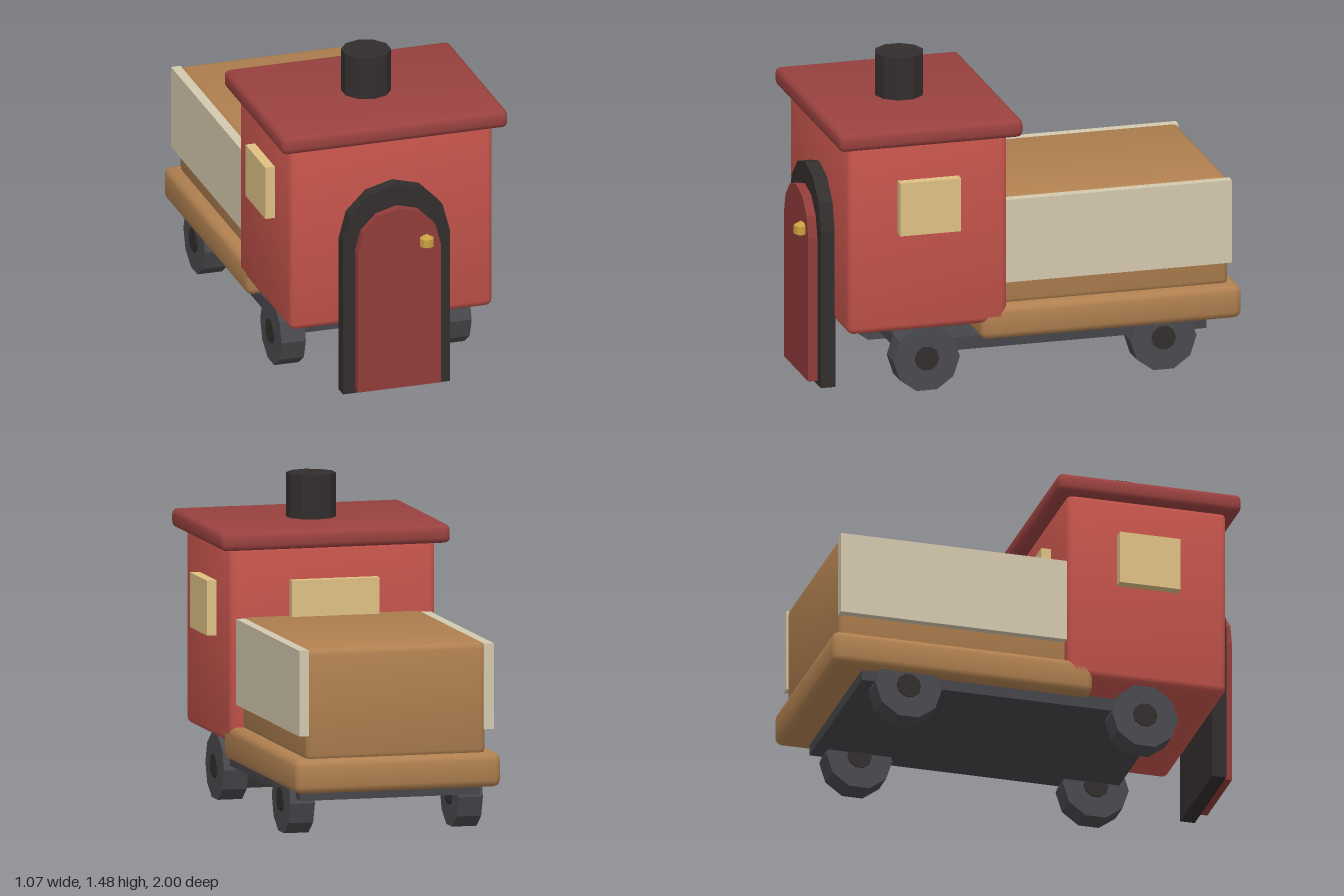
import * as THREE from 'three';
import { RoundedBoxGeometry } from 'three/addons/geometries/RoundedBoxGeometry.js';

const mat = (color, flatShading = false) => new THREE.MeshStandardMaterial({ color, flatShading });
const RED = mat(0xc4544b), ROOF = mat(0x9a4240), DOOR = mat(0x903c3a, true), WOOD = mat(0xb08050);
const CREAM = mat(0xd4c8ae), GLASS = mat(0xdec083), BLACK = mat(0x322e2d, true);
const TYRE = mat(0x4a494e, true), CHASSIS = mat(0x46454a), BRASS = mat(0xc8a040, true);

export function createModel() {
  const model = new THREE.Group();
  model.name = 'toyTruck';

  const add = (name, geometry, material, x = 0, y = 0, z = 0) => {
    const mesh = new THREE.Mesh(geometry, material);
    mesh.name = name;
    mesh.position.set(x, y, z);
    model.add(mesh);
    return mesh;
  };

  // Box given by its extents on each axis; bevel > 0 gives soft, pillowy edges
  const box = (name, material, [x0, x1], [y0, y1], [z0, z1], bevel = 0) => {
    const size = [x1 - x0, y1 - y0, z1 - z0];
    let g;
    if (bevel) {
      g = new RoundedBoxGeometry(...size, 2, bevel);
      const p = g.attributes.position, n = g.attributes.normal;
      const v = new THREE.Vector3();
      for (let i = 0; i < p.count; i++) {
        v.fromBufferAttribute(n, i);
        v.x += 0.2 * Math.sign(p.getX(i));
        v.y += 0.2 * Math.sign(p.getY(i));
        v.z += 0.2 * Math.sign(p.getZ(i));
        v.normalize();
        n.setXYZ(i, v.x, v.y, v.z);
      }
    } else g = new THREE.BoxGeometry(...size);
    return add(name, g, material, (x0 + x1) / 2, (y0 + y1) / 2, (z0 + z1) / 2);
  };

  // Upright panel with a six-sided arched top
  const archPanel = (name, material, r, bottom, spring, z0, z1) => {
    const pts = [new THREE.Vector2(-r, bottom), new THREE.Vector2(r, bottom)];
    for (let i = 0; i <= 6; i++) {
      const a = (i * Math.PI) / 6;
      pts.push(new THREE.Vector2(r * Math.cos(a), spring + r * Math.sin(a)));
    }
    const g = new THREE.ExtrudeGeometry(new THREE.Shape(pts), { depth: z1 - z0, bevelEnabled: false });
    return add(name, g, material, 0, 0, z0);
  };

  // Cab, roof and chimney
  box('cab', RED, [-0.48, 0.48], [0.31, 1.21], [0.10, 0.845], 0.03);
  box('roof', ROOF, [-0.535, 0.535], [1.195, 1.28], [0.04, 0.9], 0.025);
  add('chimney', new THREE.CylinderGeometry(0.113, 0.113, 0.23, 10), BLACK, 0, 1.365, 0.47);

  // Door in its frame, with a knob
  archPanel('doorFrame', BLACK, 0.253, 0, 0.74, 0.842, 0.91);
  archPanel('door', DOOR, 0.197, 0.018, 0.695, 0.846, 0.953);
  add('doorKnob', new THREE.SphereGeometry(0.038, 8, 3), BRASS, 0.125, 0.72, 0.967);

  // Cargo bed
  box('platform', WOOD, [-0.48, 0.48], [0.23, 0.385], [-1, 0.22], 0.032);
  box('cargo', WOOD, [-0.42, 0.42], [0.37, 0.885], [-0.955, 0.15], 0.03);
  box('chassis', CHASSIS, [-0.42, 0.42], [0.18, 0.24], [-0.85, 0.58]);

  // Rear window
  box('rearWindow', GLASS, [-0.205, 0.205], [0.8, 1.05], [0.055, 0.12]);

  // Side windows, side boards and wheels
  for (const [side, s] of [['left', 1], ['right', -1]]) {
    const span = (a, b) => (s > 0 ? [a, b] : [-b, -a]);
    box(side + 'Window', GLASS, span(0.46, 0.525), [0.775, 1.025], [0.33, 0.615]);
    box(side + 'SideBoard', CREAM, span(0.41, 0.455), [0.49, 0.88], [-0.96, 0.12]);
    for (const [end, z] of [['Front', 0.47], ['Rear', -0.64]]) {
      const disc = (r, w) => new THREE.CylinderGeometry(r, r, w, 10).rotateZ(Math.PI / 2);
      add(side + end + 'Wheel', disc(0.155, 0.115), TYRE, s * 0.393, 0.16, z);
      add(side + end + 'Hub', disc(0.057, 0.13), BLACK, s * 0.393, 0.163, z);
    }
  }
  return model;
}
